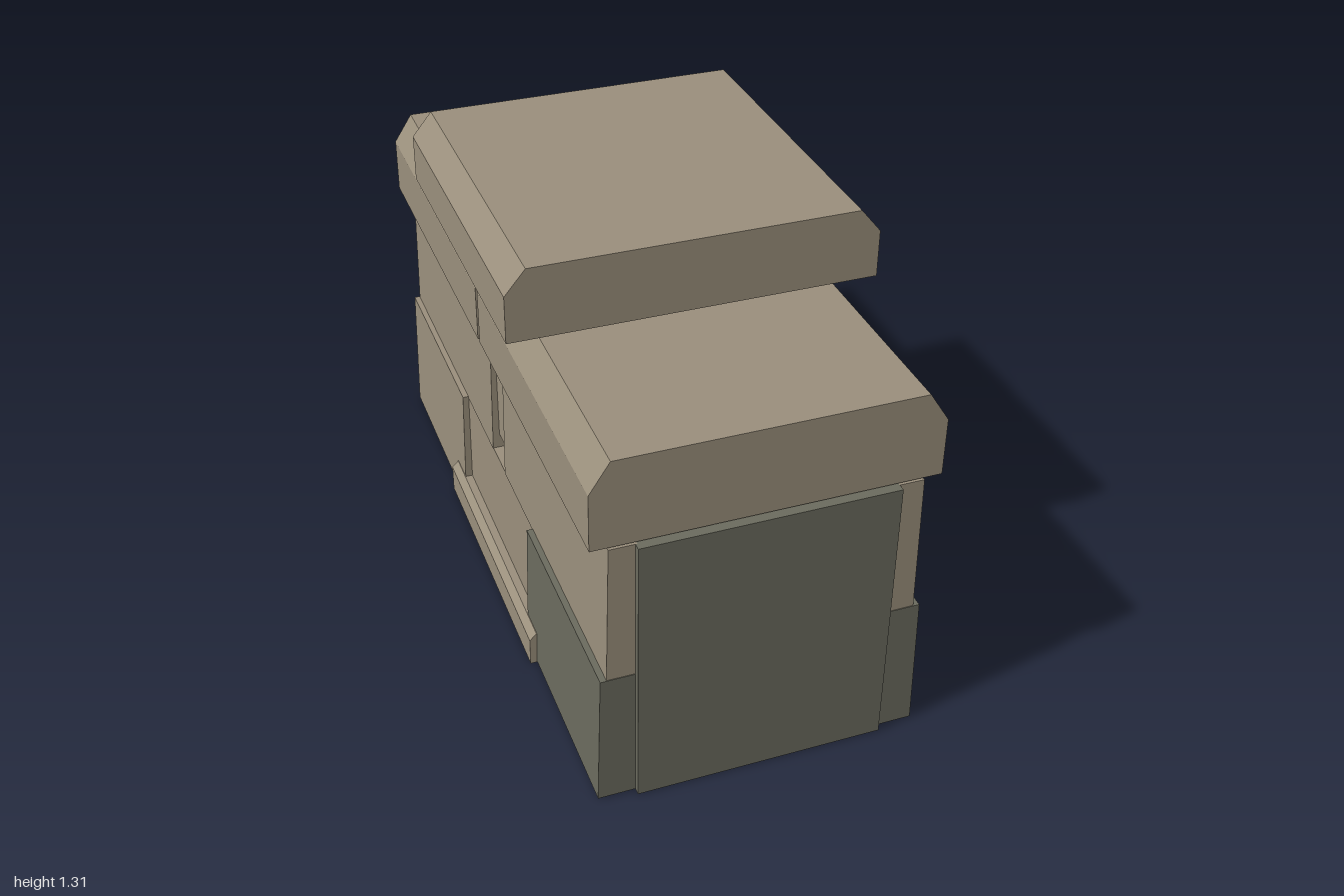
import * as THREE from 'three';

export function createModel() {
  const model = new THREE.Group();
  const tan = new THREE.MeshStandardMaterial({ color: 0x9a8f7c });
  tan.name = 'warm stone';
  const dark = new THREE.MeshStandardMaterial({ color: 0x6b6b5e });
  dark.name = 'dark stone';

  // Extrude an x/y outline between two z positions
  function prism(name, points, z0, z1, material) {
    const shape = new THREE.Shape(points.map(([x, y]) => new THREE.Vector2(x, y)));
    const geometry = new THREE.ExtrudeGeometry(shape, { depth: z1 - z0, bevelEnabled: false });
    geometry.translate(0, 0, z0);
    const mesh = new THREE.Mesh(geometry, material);
    mesh.name = name;
    model.add(mesh);
  }

  // Box centred on x and z, given half widths and a height range
  function block(name, hx, y0, y1, hz, material) {
    prism(name, [[-hx, y0], [hx, y0], [hx, y1], [-hx, y1]], -hz, hz, material);
  }

  // Slab whose long upper edges are chamfered
  function chamferedSlab(name, hx, topX, y0, shoulder, y1, z0, z1) {
    prism(name, [[-hx, y0], [hx, y0], [hx, shoulder], [topX, y1], [-topX, y1], [-hx, shoulder]], z0, z1, tan);
  }

  // Dark core, with a tall panel showing at each end
  block('core', 0.385, 0.002, 0.825, 0.965, dark);
  block('endPanels', 0.345, 0.001, 0.815, 1.0, dark);
  block('upperDeck', 0.4, 0.812, 0.826, 0.96, dark);
  block('basePlate', 0.44, 0, 0.006, 0.978, dark);

  for (const side of [1, -1]) {
    const label = side > 0 ? 'left' : 'right';
    const sidePrism = (name, points, z0, z1, material) =>
      prism(label + name, points.map(([x, y]) => [x * side, y]), z0, z1, material);

    // Slightly tapered upper walls on either side of the narrow slot
    const upper = [[0.34, 0.4], [0.421, 0.4], [0.413, 0.815], [0.34, 0.815]];
    sidePrism('UpperWallFront', upper, 0.065, 0.98, tan);
    sidePrism('UpperWallBack', upper, -0.98, -0.06, tan);
    sidePrism('SlotPanel', [[0.37, 0.45], [0.4, 0.45], [0.4, 0.68], [0.37, 0.68]], -0.06, 0.065, tan);

    // Lower corner blocks: dark at the front, light at the back
    const lower = [[0.34, 0.003], [0.448, 0.003], [0.438, 0.405], [0.34, 0.405]];
    sidePrism('LowerBlockFront', lower, 0.345, 0.982, dark);
    sidePrism('LowerBlockBack', lower, -0.982, -0.345, tan);

    // Recessed middle wall and the sloped step at its foot
    sidePrism('MiddleWall', [[0.36, 0.003], [0.425, 0.003], [0.42, 0.404], [0.36, 0.404]], -0.345, 0.345, tan);
    sidePrism('Step', [[0.4, 0], [0.467, 0], [0.467, 0.085], [0.447, 0.105], [0.4, 0.105]], -0.435, 0.435, tan);
  }

  // Lid in two halves with a fine gap between them
  chamferedSlab('frontLid', 0.46, 0.405, 0.822, 0.985, 1.07, 0.01, 0.98);
  chamferedSlab('backLid', 0.46, 0.405, 0.822, 0.985, 1.07, -0.98, -0.008);
  block('lidSeam', 0.4, 0.82, 1.05, 0.02, dark);

  // Neck and overhanging top cap
  block('neck', 0.365, 1.06, 1.11, 0.345, dark);
  chamferedSlab('topCap', 0.505, 0.448, 1.103, 1.237, 1.306, -0.475, 0.475);

  return model;
}
